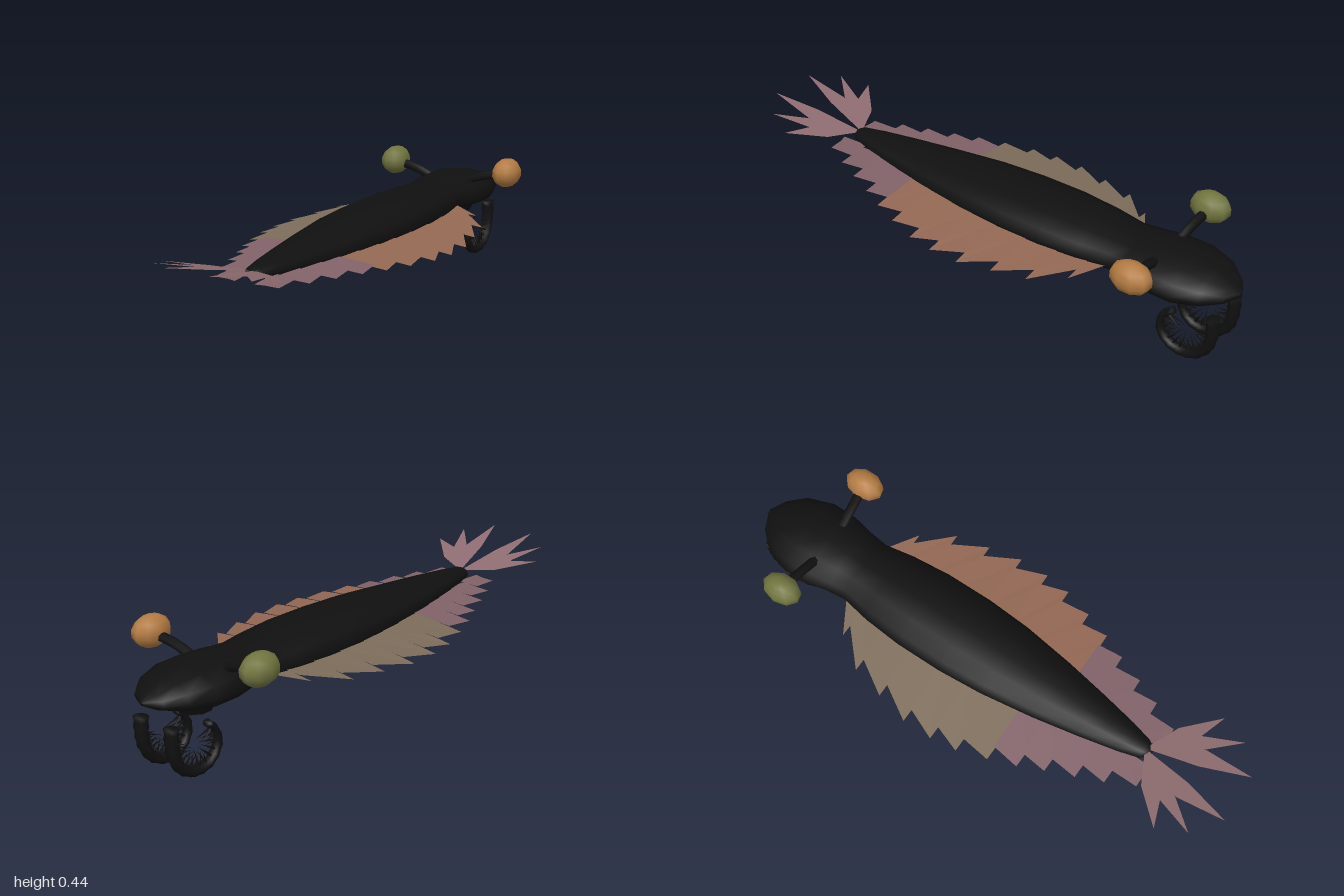
import * as THREE from 'three';

const mat = (name, color, side = THREE.FrontSide) => {
  const m = new THREE.MeshStandardMaterial({ color, side });
  m.name = name;
  return m;
};

// Skin a list of rings (each counter-clockwise around the travel direction), with closed ends.
function loft(rings) {
  const n = rings[0].length, pos = [], idx = [];
  rings.forEach(r => r.forEach(p => pos.push(p.x, p.y, p.z)));
  for (let i = 0; i < rings.length - 1; i++) {
    for (let j = 0; j < n; j++) {
      const k = (j + 1) % n, a = i * n + j, b = i * n + k;
      idx.push(a, b, a + n, b, b + n, a + n);
    }
  }
  const last = (rings.length - 1) * n;
  for (let j = 1; j < n - 1; j++) {
    idx.push(0, j + 1, j, last, last + j, last + j + 1);
  }
  const g = new THREE.BufferGeometry();
  g.setAttribute('position', new THREE.Float32BufferAttribute(pos, 3));
  g.setIndex(idx);
  g.computeVertexNormals();
  return g;
}

// Flat fan-shaped plate through the given points.
function plate(points) {
  const pos = [];
  for (let i = 1; i < points.length - 1; i++) pos.push(...points[0], ...points[i], ...points[i + 1]);
  const g = new THREE.BufferGeometry();
  g.setAttribute('position', new THREE.Float32BufferAttribute(pos, 3));
  g.computeVertexNormals();
  return g;
}

export function createModel() {
  const root = new THREE.Group();
  const black = mat('shell black', 0x101010);
  const orange = mat('orange eye', 0xb37b42);
  const olive = mat('olive eye', 0x71753f);
  const rust = mat('rust flap', 0x936853, THREE.DoubleSide);
  const tan = mat('tan flap', 0x7d6c5a, THREE.DoubleSide);
  const mauve = mat('mauve flap', 0x816268, THREE.DoubleSide);
  const rose = mat('rose tail', 0x8e6c70, THREE.DoubleSide);
  const add = (name, geo, m, parent = root) => {
    const mesh = new THREE.Mesh(geo, m);
    mesh.name = name;
    parent.add(mesh);
    return mesh;
  };

  // Body and head: z, half width, bottom, top
  const sections = [
    [-1, 0.01, 0.28, 0.295], [-0.97, 0.07, 0.262, 0.315], [-0.91, 0.125, 0.243, 0.345],
    [-0.82, 0.158, 0.226, 0.362], [-0.72, 0.157, 0.223, 0.366], [-0.63, 0.138, 0.23, 0.36],
    [-0.56, 0.13, 0.233, 0.354], [-0.45, 0.15, 0.226, 0.36], [-0.3, 0.163, 0.222, 0.366],
    [-0.12, 0.163, 0.225, 0.363], [0.05, 0.151, 0.232, 0.356], [0.25, 0.122, 0.24, 0.342],
    [0.42, 0.09, 0.25, 0.331], [0.56, 0.06, 0.262, 0.32], [0.64, 0.038, 0.27, 0.312], [0.67, 0.008, 0.285, 0.297],
  ];
  add('body', loft(sections.map(([z, w, lo, hi]) => Array.from({ length: 12 }, (_, j) => {
    const a = j * Math.PI / 6, s = Math.sin(a), mid = lo + (hi - lo) * 0.44;
    return new THREE.Vector3(w * Math.cos(a), mid + s * (s > 0 ? hi - mid : mid - lo), z);
  }))), black);

  // Round mouth under the head
  const mouth = add('mouth', new THREE.CylinderGeometry(0.085, 0.062, 0.045, 10), black);
  mouth.position.set(0, 0.223, -0.785);

  // Swimming flaps: tip x, tip z, root front z
  const tips = [
    [0.24, -0.49], [0.32, -0.375], [0.35, -0.25], [0.378, -0.125], [0.378, -0.01], [0.365, 0.09],
    [0.33, 0.2], [0.295, 0.3], [0.255, 0.39], [0.215, 0.49], [0.175, 0.585], [0.125, 0.685],
  ];
  const flapY = x => 0.277 - 0.2 * x * x;
  for (const side of [1, -1]) {
    const flaps = new THREE.Group();
    flaps.name = side > 0 ? 'leftFlaps' : 'rightFlaps';
    root.add(flaps);
    tips.forEach(([x, z], i) => {
      const [px, pz] = i ? [tips[i - 1][0] - 0.05, tips[i - 1][1] - 0.005] : [0.12, -0.56];
      const inner = x * 0.3;
      const p = (ax, az, dy) => [side * ax, flapY(ax) + dy, az];
      const m = i > (side > 0 ? 7 : 6) ? mauve : side > 0 ? rust : tan;
      add('flap', plate([
        p(inner, pz, 0.002), p(px, pz, 0.002), p(x, z, -0.003), p(x - 0.055, z + 0.002, -0.004), p(inner, z + 0.012, -0.004),
      ]), m, flaps);
    });
  }

  // Tail fan: three raised blades each side, as inner edge, tip, outer edge
  const blades = [
    [[0.035, 0.83], [0.09, 1], [0.1, 0.82]],
    [[0.085, 0.8], [0.19, 0.92], [0.137, 0.78]],
    [[0.12, 0.775], [0.235, 0.815], [0.125, 0.7]],
  ];
  const fan = new THREE.Group();
  fan.name = 'tailFan';
  root.add(fan);
  for (const side of [1, -1]) {
    for (const blade of blades) {
      add('tailBlade', plate([[0, 0.64], ...blade].map(([x, z]) => [side * x, 0.3 + 0.243 * (z - 0.65), z])), rose, fan);
    }
  }

  // Eyes on stalks
  for (const side of [1, -1]) {
    const eye = add(side > 0 ? 'leftEye' : 'rightEye', new THREE.SphereGeometry(1, 9, 7), side > 0 ? orange : olive);
    eye.scale.set(0.054, 0.057, 0.076);
    eye.position.set(side * 0.25, 0.387, -0.735);
    const curve = new THREE.CatmullRomCurve3([
      [0.07, 0.335, -0.72], [0.14, 0.362, -0.725], [0.23, 0.379, -0.735],
    ].map(([x, y, z]) => new THREE.Vector3(side * x, y, z)));
    add('eyeStalk', new THREE.TubeGeometry(curve, 6, 0.018, 7), black);
  }

  // Curled grasping claws with spines on the inside of the curl
  const path = new THREE.CatmullRomCurve3([
    [0.205, -0.948], [0.15, -0.95], [0.09, -0.939], [0.045, -0.905], [0.024, -0.85],
    [0.04, -0.79], [0.09, -0.757], [0.14, -0.767], [0.175, -0.8],
  ].map(([y, z]) => new THREE.Vector3(0, y, z)));
  const X = new THREE.Vector3(1, 0, 0), centre = new THREE.Vector3(0, 0.115, -0.85);
  const steps = 26, rings = [];
  for (let i = 0; i <= steps; i++) {
    const t = i / steps, p = path.getPointAt(t), n = path.getTangentAt(t).cross(X);
    const r = (0.028 - 0.012 * t) * (i % 2 ? 0.88 : 1.03);
    rings.push(Array.from({ length: 8 }, (_, j) => {
      const a = j * Math.PI / 4;
      return p.clone().addScaledVector(X, r * Math.cos(a)).addScaledVector(n, r * 0.85 * Math.sin(a));
    }));
  }
  const clawGeo = loft(rings);
  for (const side of [1, -1]) {
    const claw = new THREE.Group();
    claw.name = side > 0 ? 'leftClaw' : 'rightClaw';
    claw.position.x = side * 0.071;
    root.add(claw);
    add('clawArm', clawGeo, black, claw);
    for (let i = 0; i < 13; i++) {
      for (const s of [-1, 1]) {
        const p = path.getPointAt(0.14 + i * 0.066), dir = centre.clone().sub(p).normalize();
        dir.x = s * 0.25;
        dir.normalize();
        const len = i % 2 ? 0.05 : 0.062;
        const spine = add('clawSpine', new THREE.ConeGeometry(0.005, len, 4), black, claw);
        spine.position.copy(p).addScaledVector(dir, 0.012 + len / 2);
        spine.quaternion.setFromUnitVectors(new THREE.Vector3(0, 1, 0), dir);
      }
    }
  }
  return root;
}
